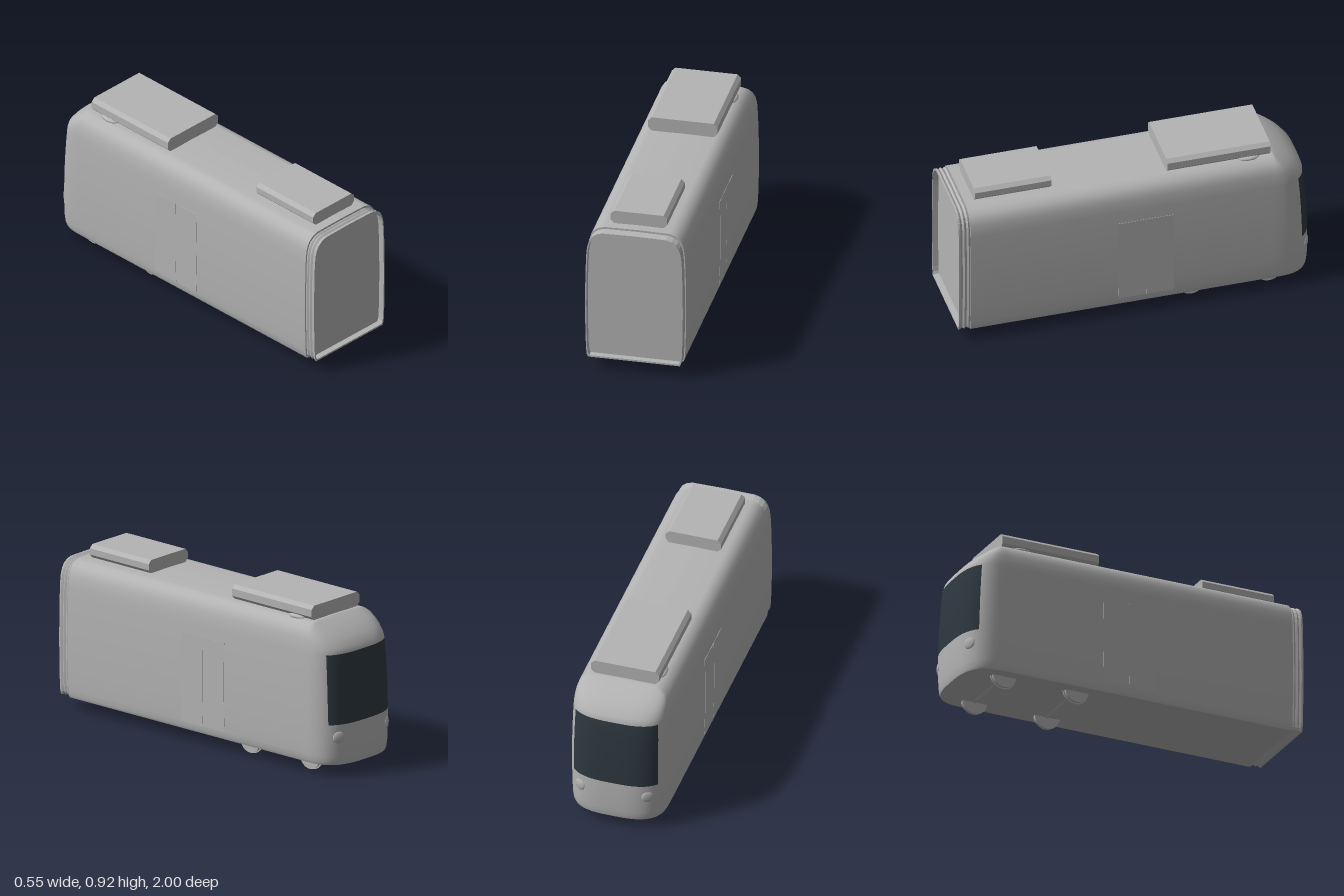
import * as THREE from 'three';

// Body profile: [height, half width, z of nose tip]
const profile = [
  [0.07, 0.258, -0.99], [0.085, 0.265, -0.994], [0.12, 0.269, -0.998], [0.2, 0.272, -1], [0.3, 0.274, -0.999],
  [0.4, 0.275, -0.995], [0.5, 0.274, -0.989], [0.6, 0.272, -0.981], [0.69, 0.269, -0.971],
  [0.72, 0.267, -0.96], [0.76, 0.262, -0.925], [0.79, 0.253, -0.885], [0.815, 0.238, -0.847],
  [0.835, 0.212, -0.81], [0.845, 0.18, -0.79], [0.848, 0, -0.78],
];
const NOSE = -0.78, END = 0.935, STEPS = 30;

function halfWidth(y) {
  for (let i = 1; i < profile.length; i++) {
    const [y0, w0] = profile[i - 1], [y1, w1] = profile[i];
    if (y <= y1) return w0 + (w1 - w0) * (y - y0) / (y1 - y0);
  }
  return 0;
}

// Plan outline at one height: right wall, rounded nose, other wall
function outline([, w, tip]) {
  const pts = [[w, END], [w, 0.9], [w, -0.72]];
  for (let i = 0; i <= STEPS; i++) {
    const t = Math.PI * i / STEPS, c = Math.cos(t), s = Math.max(0, Math.sin(t));
    pts.push([w * Math.sign(c) * Math.abs(c) ** (2 / 3), NOSE + (tip - NOSE) * s ** (2 / 3)]);
  }
  pts.push([-w, -0.72], [-w, 0.9], [-w, END]);
  return pts;
}

// Whole shell as one smooth grid; the second group is the windscreen
function shellGeometry() {
  const pos = [], wall = [], glass = [];
  const rows = profile.map(outline), n = rows[0].length;
  rows.forEach((row, r) => row.forEach(([x, z]) => pos.push(x, profile[r][0], z)));
  for (let r = 0; r < rows.length - 1; r++) {
    for (let c = 0; c < n - 1; c++) {
      const a = r * n + c, b = a + 1, d = a + n, e = d + 1;
      const y = profile[r][0], step = c - 3;
      const isGlass = y >= 0.3 && y < 0.69 && step >= 6 && step < STEPS - 6;
      (isGlass ? glass : wall).push(a, b, e, a, e, d);
    }
  }
  const g = new THREE.BufferGeometry();
  g.setAttribute('position', new THREE.Float32BufferAttribute(pos, 3));
  g.setIndex([...wall, ...glass]);
  g.addGroup(0, wall.length, 0);
  g.addGroup(wall.length, glass.length, 1);
  g.computeVertexNormals();
  return g;
}

// Closed cross-section, scaled about its centre
function section(scale) {
  const side = profile.map(([y, w]) => new THREE.Vector2(w * scale, 0.459 + (y - 0.459) * scale));
  const other = side.slice(0, -1).reverse().map(p => new THREE.Vector2(-p.x, p.y));
  return [...side, ...other];
}

// Folded gangway: section loops with alternating scale
function bellowsGeometry() {
  const folds = [[0.93, 0.965], [0.945, 0.985], [0.955, 0.965], [0.968, 0.985], [0.978, 0.965], [0.99, 0.985], [1, 0.985], [1, 0.96], [0.965, 0.955]];
  const pos = [], idx = [], n = section(1).length;
  for (const [z, s] of folds) for (const p of section(s)) pos.push(p.x, p.y, z);
  for (let f = 0; f < folds.length - 1; f++) {
    for (let i = 0; i < n; i++) {
      const j = (i + 1) % n, a = f * n + i, b = f * n + j;
      idx.push(a, b, b + n, a, b + n, a + n);
    }
  }
  const g = new THREE.BufferGeometry();
  g.setAttribute('position', new THREE.Float32BufferAttribute(pos, 3));
  g.setIndex(idx);
  const flat = g.toNonIndexed();
  flat.computeVertexNormals();
  return flat;
}

// Roof box with chamfered long edges
function roofUnit(w, y0, y1, z0, z1) {
  const c = 0.02;
  const pts = [[w - c, y0], [w, y0 + c], [w, y1 - c], [w - c, y1], [c - w, y1], [-w, y1 - c], [-w, y0 + c], [c - w, y0]];
  const shape = new THREE.Shape(pts.map(p => new THREE.Vector2(...p)));
  return new THREE.ExtrudeGeometry(shape, { depth: z1 - z0, bevelEnabled: false }).translate(0, 0, z0);
}

export function createModel() {
  const grey = new THREE.MeshStandardMaterial({ color: 0xb4b4b4, side: THREE.DoubleSide });
  grey.name = 'bodyGrey';
  const dark = new THREE.MeshStandardMaterial({ color: 0x2d383f });
  dark.name = 'windscreenGlass';

  const model = new THREE.Group();
  model.name = 'tramCar';
  const add = (name, geometry, material = grey) => {
    const m = new THREE.Mesh(geometry, material);
    m.name = name;
    model.add(m);
    return m;
  };

  // Body shell, floor and gangway end
  add('bodyShell', shellGeometry(), [grey, dark]);
  const floor = new THREE.Shape(outline(profile[0]).map(p => new THREE.Vector2(...p)));
  add('floor', new THREE.ShapeGeometry(floor).rotateX(Math.PI / 2).translate(0, 0.07, 0));
  add('endWall', new THREE.ShapeGeometry(new THREE.Shape(section(1))).translate(0, 0, END));
  add('bellows', bellowsGeometry());
  add('gangwayPanel', new THREE.ShapeGeometry(new THREE.Shape(section(0.957))).translate(0, 0, 0.967));

  // Roof equipment
  add('frontRoofUnit', roofUnit(0.157, 0.846, 0.921, 0.45, 0.88));
  add('rearRoofUnit', roofUnit(0.192, 0.846, 0.927, -0.77, -0.19));

  for (const side of [1, -1]) {
    // Door leaves follow the curve of the wall
    for (const z of [0.03, -0.1275]) {
      const leaf = new THREE.BoxGeometry(0.006, 0.505, 0.155, 1, 8, 1).translate(0, 0.3675, z);
      const p = leaf.attributes.position;
      for (let i = 0; i < p.count; i++) p.setX(i, p.getX(i) + side * (halfWidth(p.getY(i)) - 0.001));
      add('doorLeaf', leaf);
    }

    // Headlights on the nose corners
    const lamp = add('headlight', new THREE.SphereGeometry(0.034, 24, 12));
    lamp.scale.z = 0.3;
    lamp.position.set(side * 0.191, 0.228, -0.968);
    lamp.rotation.y = -side * 0.5;

    // Small roof fairings beside the rear unit
    const fairing = add('roofFairing', new THREE.SphereGeometry(1, 16, 8));
    fairing.scale.set(0.03, 0.014, 0.06);
    fairing.position.set(side * 0.172, 0.846, -0.65);

    // Wheels with inner flanges
    for (const z of [-0.325, -0.76]) {
      add('wheel', new THREE.CylinderGeometry(0.067, 0.07, 0.025, 32).rotateZ(side * Math.PI / 2).translate(side * 0.185, 0.078, z));
      add('wheelFlange', new THREE.CylinderGeometry(0.075, 0.075, 0.008, 32).rotateZ(Math.PI / 2).translate(side * 0.174, 0.078, z));
    }
  }

  // Axles just showing below the floor
  for (const z of [-0.325, -0.76]) {
    add('axle', new THREE.CylinderGeometry(0.014, 0.014, 0.34, 16).rotateZ(Math.PI / 2).translate(0, 0.078, z));
  }
  return model;
}
